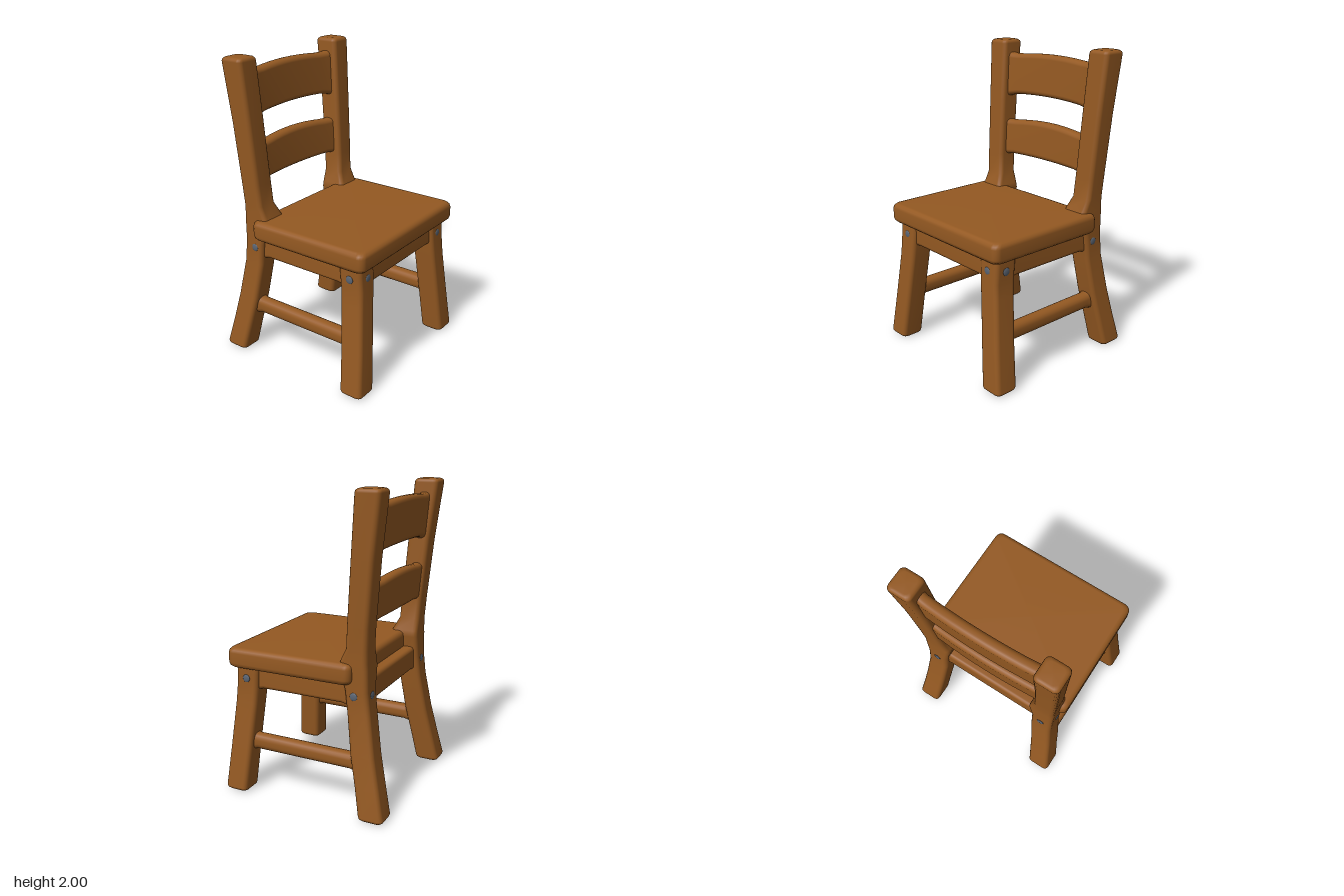
import * as THREE from 'three';

const wood = new THREE.MeshStandardMaterial({ color: 0x945922 });
wood.name = 'warm brown wood';
const steel = new THREE.MeshStandardMaterial({ color: 0x5a6472 });
steel.name = 'blue grey metal';

// Rounded-rectangle bar along an axis (0 x, 1 y, 2 z).
// Each station is [t, centreU, centreV, halfU, halfV], with U and V the next two axes in cyclic order.
function loft(axis, stations, { r = 0.03, edge = 0.025, shear = 0 } = {}) {
  const u = (axis + 1) % 3, v = (axis + 2) % 3, rings = [];
  const first = stations[0], last = stations[stations.length - 1];
  const capAngles = [0, 30, 60, 90].map(THREE.MathUtils.degToRad);
  const capRing = (s, dir, a) => {
    const inset = edge * (1 - Math.cos(a));
    return [s[0] - dir * edge * (1 - Math.sin(a)), s[1], s[2], s[3] - inset, s[4] - inset];
  };
  for (const a of [...capAngles].reverse()) rings.push(capRing(first, -1, a));
  rings.push(...stations.slice(1, -1));
  for (const a of capAngles) rings.push(capRing(last, 1, a));

  const pos = [], index = [], n = 20;
  const put = (t, cu, cv, du, dv) => {
    const p = [0, 0, 0];
    p[axis] = t;
    p[u] = cu + du;
    p[v] = cv + dv + shear * du;
    pos.push(...p);
  };
  for (const [t, cu, cv, hu, hv] of rings) {
    const c = Math.min(r, hu * 0.95, hv * 0.95);
    for (let k = 0; k < n; k++) {
      const q = Math.floor(k / 5), a = (q + (k % 5) / 4) * Math.PI / 2;
      const su = q === 0 || q === 3 ? 1 : -1, sv = q < 2 ? 1 : -1;
      put(t, cu, cv, su * (hu - c) + c * Math.cos(a), sv * (hv - c) + c * Math.sin(a));
    }
  }
  for (let i = 0; i < rings.length - 1; i++) {
    for (let k = 0; k < n; k++) {
      const a = i * n + k, b = i * n + (k + 1) % n;
      index.push(a, b, b + n, a, b + n, a + n);
    }
  }
  // end caps
  const base = (rings.length - 1) * n, c0 = rings.length * n;
  put(first[0], first[1], first[2], 0, 0);
  put(last[0], last[1], last[2], 0, 0);
  for (let k = 0; k < n; k++) {
    const m = (k + 1) % n;
    index.push(c0, m, k, c0 + 1, base + k, base + m);
  }
  const g = new THREE.BufferGeometry();
  g.setAttribute('position', new THREE.Float32BufferAttribute(pos, 3));
  g.setIndex(index);
  g.computeVertexNormals();
  return g;
}

export function createModel() {
  const chair = new THREE.Group();
  chair.name = 'chair';
  const add = (name, geometry, material = wood) => {
    const mesh = new THREE.Mesh(geometry, material);
    mesh.name = name;
    chair.add(mesh);
    return mesh;
  };

  // Seat slab
  add('seat', loft(1, [
    [0.84, 0.11, 0, 0.435, 0.54],
    [0.975, 0.11, 0, 0.435, 0.54],
  ], { r: 0.045, edge: 0.035 }));

  // Bar whose ends flare into the posts; f is the flare of height and thickness
  const flared = (from, to, cu, cv, hu, hv, fu, fv) => {
    const d = 0.05;
    return [[from, cu, cv, hu + fu, hv + fv], [from + d, cu, cv, hu + fu * 0.35, hv + fv * 0.35],
      [from + 2 * d, cu, cv, hu, hv], [to - 2 * d, cu, cv, hu, hv],
      [to - d, cu, cv, hu + fu * 0.35, hv + fv * 0.35], [to, cu, cv, hu + fu, hv + fv]];
  };

  for (const s of [1, -1]) {
    const side = s > 0 ? 'left' : 'right';

    // Splayed front leg
    add(side + 'FrontLeg', loft(1, [
      [0, 0.485, s * 0.5, 0.08, 0.08],
      [0.3, 0.463, s * 0.465, 0.079, 0.077],
      [0.6, 0.437, s * 0.43, 0.079, 0.076],
      [0.7, 0.43, s * 0.42, 0.08, 0.077],
      [0.8, 0.422, s * 0.418, 0.08, 0.08],
      [0.89, 0.42, s * 0.418, 0.08, 0.08],
    ]));

    // Back leg continuing up as the backrest post, widened where it meets the seat
    add(side + 'BackPost', loft(1, [
      [0, -0.48, s * 0.5, 0.083, 0.08],
      [0.2, -0.443, s * 0.477, 0.08, 0.077],
      [0.4, -0.4, s * 0.453, 0.079, 0.076],
      [0.65, -0.362, s * 0.424, 0.076, 0.075],
      [0.8, -0.345, s * 0.42, 0.076, 0.078],
      [0.94, -0.325, s * 0.408, 0.094, 0.092],
      [0.98, -0.327, s * 0.411, 0.09, 0.089],
      [1.06, -0.347, s * 0.425, 0.071, 0.075],
      [1.2, -0.356, s * 0.433, 0.071, 0.075],
      [1.6, -0.389, s * 0.448, 0.074, 0.077],
      [2, -0.427, s * 0.463, 0.082, 0.08],
    ]));

    // Side apron and low stretcher
    const apron = flared(-0.34, 0.42, s * 0.425, 0.785, 0.048, 0.08, 0, 0.035);
    add(side + 'SideApron', loft(2, apron, { r: 0.025 }));
    add(side + 'Stretcher', loft(2, flared(-0.4, 0.46, s * 0.455, 0.338, 0.045, 0.053, 0.01, 0.03), { r: 0.04 }));

    // Bolt heads on the leg joints
    const bolt = (name, x, y, z, rx, rz) => {
      const mesh = add(name, new THREE.SphereGeometry(0.026, 12, 8), steel);
      mesh.position.set(x, y, z);
      mesh.scale.set(rx, 1, rz);
    };
    bolt(side + 'FrontBolt', s * 0.415, 0.77, 0.502, 1, 0.25);
    bolt(side + 'FrontSideBolt', s * 0.498, 0.77, 0.425, 0.25, 1);
    bolt(side + 'BackSideBolt', s * 0.497, 0.77, -0.335, 0.25, 1);
    bolt(side + 'BackBolt', s * 0.42, 0.77, -0.424, 1, 0.25);
  }

  // Front and back aprons
  add('frontApron', loft(0, flared(-0.42, 0.42, 0.785, 0.435, 0.08, 0.048, 0.03, 0), { r: 0.025 }));
  add('backApron', loft(0, flared(-0.42, 0.42, 0.785, -0.35, 0.08, 0.045, 0.03, 0), { r: 0.025 }));

  // Curved backrest slats: arched upward and bowed backward
  const slat = (name, bottom, top, z, bottomArch, topArch) => {
    const stations = [];
    for (let i = 0; i <= 12; i++) {
      const x = -0.43 + 0.86 * i / 12, k = 1 - (x / 0.38) ** 2;
      const flare = 0.025 * Math.max(0, (Math.abs(x) - 0.33) / 0.1);
      const lo = bottom + bottomArch * k - flare, hi = top + topArch * k + flare;
      stations.push([x, (lo + hi) / 2, z - 0.02 * k, (hi - lo) / 2, 0.04]);
    }
    add(name, loft(0, stations, { r: 0.032, shear: -0.08 }));
  };
  slat('lowerSlat', 1.205, 1.435, -0.378, 0.008, 0.033);
  slat('upperSlat', 1.625, 1.9, -0.412, 0.018, 0.024);

  return chair;
}
